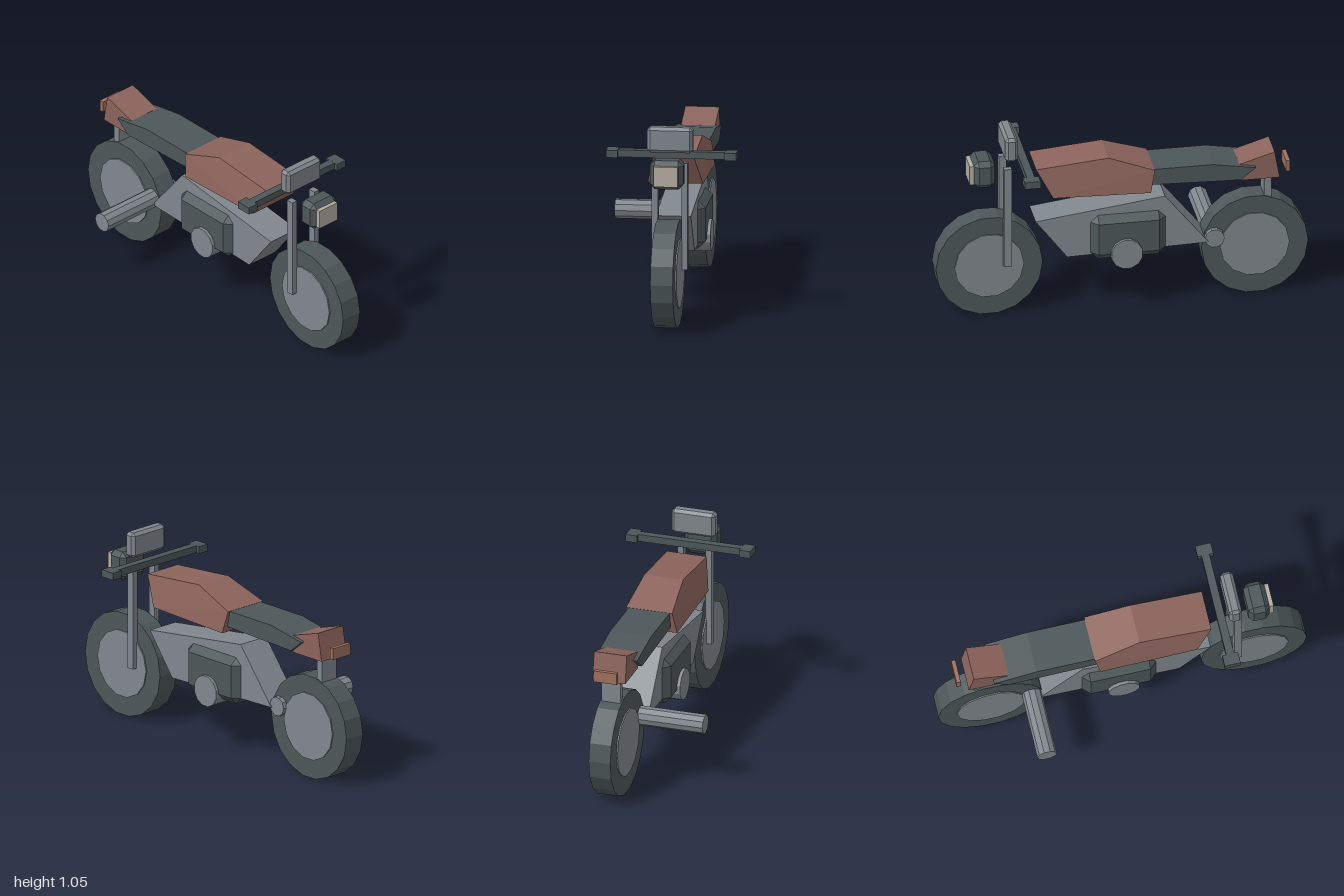
import * as THREE from 'three';
import { ConvexGeometry } from 'three/addons/geometries/ConvexGeometry.js';

function makeMaterial(name, color) {
  const m = new THREE.MeshStandardMaterial({ color });
  m.name = name;
  return m;
}

export function createModel() {
  const dark = makeMaterial('dark rubber', 0x4d5759);
  const metal = makeMaterial('grey metal', 0x80878d);
  const red = makeMaterial('dull red paint', 0x8c645c);
  const tailRed = makeMaterial('tail light red', 0xa0705f);
  const cream = makeMaterial('lens cream', 0xb5aea3);

  const model = new THREE.Group();
  model.name = 'motorcycle';
  // The bike points along +x; its middle plane sits slightly behind z = 0
  const bike = new THREE.Group();
  bike.name = 'bike';
  bike.position.z = -0.038;
  model.add(bike);

  function add(name, geometry, material, x = 0, y = 0, z = 0) {
    const mesh = new THREE.Mesh(geometry, material);
    mesh.name = name;
    mesh.position.set(x, y, z);
    bike.add(mesh);
    return mesh;
  }

  // Faceted cylinder lying along z, with a corner on the x axis unless turned
  function disc(name, material, radius, width, sides, x, y, z = 0, turn = 0) {
    const indexed = new THREE.CylinderGeometry(radius, radius, width, sides);
    indexed.rotateY(Math.PI / 2 + turn).rotateX(Math.PI / 2);
    const geometry = indexed.toNonIndexed();
    geometry.computeVertexNormals();
    return add(name, geometry, material, x, y, z);
  }

  // Symmetric solid from a side outline of [x, y, half width]
  function panel(name, material, outline) {
    const points = outline.flatMap(([x, y, half]) =>
      [half, -half].map((z) => new THREE.Vector3(x, y, z)));
    return add(name, new ConvexGeometry(points), material);
  }

  // Box with every edge cut at 45 degrees
  function chamferBox(name, material, w, h, d, cut, x, y, z = 0) {
    const points = [];
    for (const sx of [-1, 1]) for (const sy of [-1, 1]) for (const sz of [-1, 1]) {
      for (let axis = 0; axis < 3; axis++) {
        const half = [w / 2, h / 2, d / 2].map((v, i) => (i === axis ? v : v - cut));
        points.push(new THREE.Vector3(sx * half[0], sy * half[1], sz * half[2]));
      }
    }
    return add(name, new ConvexGeometry(points), material, x, y, z);
  }

  const box = (name, material, w, h, d, x, y, z = 0) =>
    add(name, new THREE.BoxGeometry(w, h, d), material, x, y, z);

  // Wheels
  for (const [name, x] of [['front', 0.713], ['rear', -0.713]]) {
    disc(name + 'Tire', dark, 0.287, 0.12, 18, x, 0.284);
    disc(name + 'Hub', metal, 0.186, 0.134, 14, x, 0.287);
  }

  // Frame, engine and exhaust
  panel('frame', metal, [
    [-0.46, 0.335, 0.093], [0.3, 0.315, 0.093], [0.47, 0.54, 0.093], [-0.225, 0.63, 0.093],
  ]);
  chamferBox('engine', dark, 0.405, 0.26, 0.263, 0.04, -0.027, 0.42);
  disc('crankcase', metal, 0.086, 0.298, 12, -0.012, 0.33, 0, Math.PI / 12);
  disc('exhaust', metal, 0.053, 0.51, 10, -0.494, 0.348, 0.168);

  // Tank, seat and tail
  panel('tank', red, [
    [-0.14, 0.685, 0.148], [0.385, 0.7, 0.148], [0.47, 0.858, 0.11],
    [0.08, 0.892, 0.108], [-0.165, 0.806, 0.128],
  ]);
  panel('seat', dark, [
    [-0.71, 0.765, 0.114], [-0.63, 0.7, 0.114], [-0.14, 0.715, 0.114],
    [-0.15, 0.805, 0.114], [-0.48, 0.805, 0.114],
  ]);
  panel('tail', red, [
    [-0.842, 0.685, 0.091], [-0.625, 0.685, 0.091], [-0.625, 0.78, 0.091], [-0.815, 0.838, 0.091],
  ]);
  box('tailStrut', metal, 0.04, 0.24, 0.104, -0.785, 0.57);
  box('tailLight', tailRed, 0.023, 0.063, 0.128, -0.891, 0.735);

  // Fork legs, handlebar and grips
  box('handlebar', dark, 0.043, 0.039, 0.6, 0.531, 0.892);
  for (const side of [-1, 1]) {
    box('forkLeg', metal, 0.042, 0.578, 0.033, 0.619, 0.577, side * 0.079);
    box('grip', dark, 0.086, 0.04, 0.062, 0.531, 0.892, side * 0.316);
  }

  // Instrument pod and headlight
  chamferBox('instrumentPod', metal, 0.068, 0.138, 0.243, 0.016, 0.602, 0.987);
  chamferBox('headlight', dark, 0.116, 0.155, 0.178, 0.026, 0.74, 0.832);
  box('headlightLens', cream, 0.04, 0.108, 0.128, 0.799, 0.831);

  return model;
}
